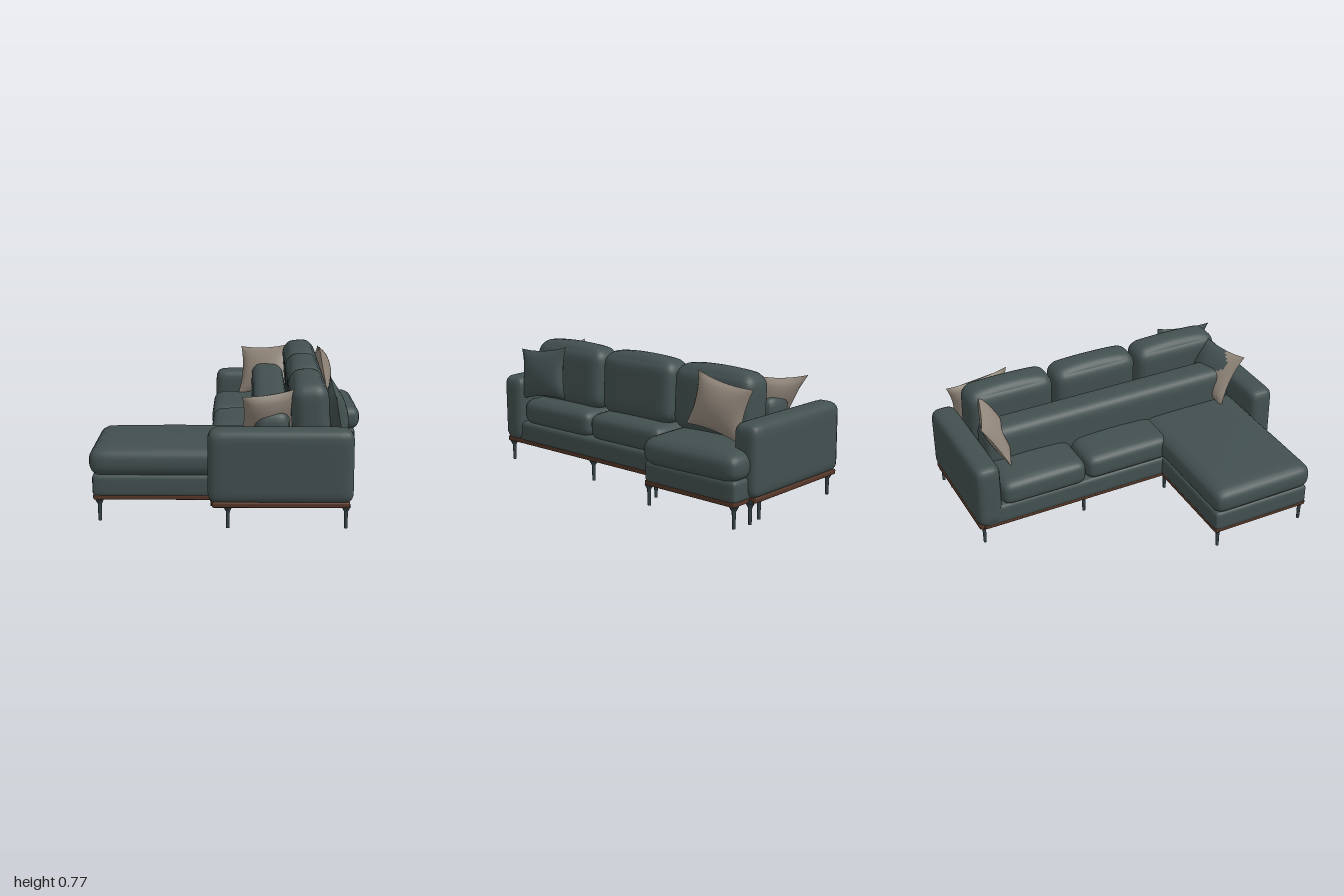
import * as THREE from 'three';
import { mergeVertices } from 'three/addons/utils/BufferGeometryUtils.js';

const mat = (name, color, side = THREE.FrontSide) => {
  const m = new THREE.MeshStandardMaterial({ color, side });
  m.name = name;
  return m;
};

// Upholstered block given by its extents: rounded edges and softly bulging faces
function softBox([x0, x1], [y0, y1], [z0, z1], radius, bulge = 0) {
  const half = [(x1 - x0) / 2, (y1 - y0) / 2, (z1 - z0) / 2];
  const geo = new THREE.BoxGeometry(2, 2, 2, 14, 14, 14);
  geo.deleteAttribute('normal');
  geo.deleteAttribute('uv');
  const pos = geo.attributes.position;
  const p = new THREE.Vector3(), core = new THREE.Vector3();
  const r = Math.min(radius, ...half.map((h) => h * 0.98));
  for (let i = 0; i < pos.count; i++) {
    p.fromBufferAttribute(pos, i);
    // crowd the grid lines towards the edges
    const t = p.toArray().map((v) => Math.sign(v) * (1 - Math.pow(1 - Math.min(1, Math.abs(v)), 1.8)));
    p.set(t[0] * half[0], t[1] * half[1], t[2] * half[2]);
    core.set(...p.toArray().map((v, k) => THREE.MathUtils.clamp(v, r - half[k], half[k] - r)));
    p.sub(core).setLength(r).add(core);
    // crown the top and bottom, full in the middle and low at the rim
    const crown = (1 - t[0] ** 2) * (1 - t[2] ** 2);
    p.y += bulge * t[1] * (crown - 0.4);
    pos.setXYZ(i, p.x + (x0 + x1) / 2, p.y + (y0 + y1) / 2, p.z + (z0 + z1) / 2);
  }
  const out = mergeVertices(geo, 1e-5);
  out.computeVertexNormals();
  return out;
}

// One face of a scatter cushion: pointed corners, pinched sides, puffed middle
function pillowShell(w, h, depth, dir, isSecond = () => false) {
  const n = 16, pts = [], groups = [[], []];
  for (let j = 0; j <= n; j++) {
    for (let i = 0; i <= n; i++) {
      const u = (2 * i) / n - 1, v = (2 * j) / n - 1;
      const puff = Math.pow((1 - u * u) * (1 - v * v), 0.6);
      pts.push(u * w / 2 * (1 - 0.12 * (1 - v * v)), v * h / 2 * (1 - 0.12 * (1 - u * u)), dir * depth * puff);
    }
  }
  for (let j = 0; j < n; j++) {
    for (let i = 0; i < n; i++) {
      const a = j * (n + 1) + i, b = a + 1, c = a + n + 1, d = c + 1;
      const list = groups[isSecond((2 * i) / n - 1, (2 * j) / n - 1) ? 1 : 0];
      list.push(...(dir > 0 ? [a, b, d, a, d, c] : [a, d, b, a, c, d]));
    }
  }
  const geo = new THREE.BufferGeometry();
  geo.setAttribute('position', new THREE.Float32BufferAttribute(pts, 3));
  geo.setIndex(groups.flat());
  geo.addGroup(0, groups[0].length, 0);
  geo.addGroup(groups[0].length, groups[1].length, 1);
  geo.computeVertexNormals();
  return geo;
}

export function createModel() {
  const model = new THREE.Group();
  model.name = 'sectionalSofa';
  const fabric = mat('slateFabric', 0x435050);
  const beige = mat('beigeFabric', 0x91867a);
  const wood = mat('brownWood', 0x553627);
  const metal = mat('darkMetal', 0x364346);

  const add = (name, geo, material, parent = model) => {
    const mesh = new THREE.Mesh(geo, material);
    mesh.name = name;
    parent.add(mesh);
    return mesh;
  };
  const soft = (name, x, y, z, r, bulge) => add(name, softBox(x, y, z, r, bulge), fabric);

  // Upholstered bases, each on a thin wooden plinth
  const bases = [
    ['main', [-0.13, 0.62], [-0.96, 0.96]],
    ['chaise', [-0.77, 0.1], [0.21, 0.84]],
    ['extension', [0.3, 0.755], [-0.95, -0.31]],
  ];
  for (const [name, x, z] of bases) {
    soft(name + 'Base', x, [0.13, 0.262], z, 0.03);
    add(name + 'Plinth', softBox([x[0] + 0.006, x[1] - 0.003], [0.118, 0.148], [z[0] + 0.004, z[1] - 0.004], 0.008), wood);
  }

  // Arms at both ends
  for (const s of [-1, 1]) {
    const z = [0.835 * s, 0.995 * s].sort((a, b) => a - b);
    soft('arm', [-0.138, 0.64], [0.135, 0.54], z, 0.055);
    const zp = [0.85 * s, 0.985 * s].sort((a, b) => a - b);
    add('armPlinth', softBox([-0.115, 0.62], [0.118, 0.15], zp, 0.01), wood);
  }

  // Seat cushions
  const seatY = [0.24, 0.412];
  soft('seatCushion', [-0.15, 0.4], seatY, [-0.84, -0.3], 0.06, 0.015);
  soft('seatCushion', [-0.14, 0.62], seatY, [-0.295, 0.265], 0.06, 0.015);
  soft('seatCushion', [0.05, 0.62], seatY, [0.27, 0.84], 0.06, 0.015);
  soft('chaiseCushion', [-0.787, 0.2], seatY, [0.2, 0.855], 0.07, 0.015);
  const ext = soft('extensionCushion', [0.2, 0.78], [0.235, 0.405], [-0.955, -0.305], 0.07, 0.015);
  ext.geometry.translate(-0.5, 0, 0.63);
  ext.position.set(0.5, 0, -0.63);
  ext.rotation.y = 0.02;

  // Long low backrest and the back cushions leaning on it
  soft('backrest', [0.1, 0.305], [0.25, 0.61], [-0.83, 0.83], 0.07);
  for (const z of [[-0.845, -0.295], [-0.285, 0.265], [0.275, 0.835]]) {
    const cushion = soft('backCushion', [-0.105, 0.105], [-0.19, 0.185], z, 0.075, 0.02);
    cushion.position.set(0.415, 0.575, 0);
    cushion.rotation.z = 0.06;
  }

  // Scatter cushions: position, turn, lean, roll, face and back materials
  const pillow = (name, pos, turn, lean, roll, w, h, face, back, accent, isAccent) => {
    const g = new THREE.Group();
    g.name = name;
    g.position.set(...pos);
    g.rotation.set(lean, turn, roll, 'YXZ');
    add('pillowFace', pillowShell(w, h, 0.055, 1, isAccent), [face, accent], g);
    add('pillowBack', pillowShell(w, h, 0.055, -1), [back, back], g);
    model.add(g);
  };
  const q = Math.PI / 2;
  pillow('darkPillow', [0.565, 0.575, 0.7], q, -0.18, 0.14, 0.39, 0.31, fabric, fabric, fabric);
  pillow('beigePillow', [0.565, 0.583, -0.69], q, -0.18, -0.14, 0.39, 0.3, beige, beige, beige);
  pillow('cornerPillow', [0.19, 0.57, -0.745], -0.37, -0.5, 0.12, 0.36, 0.34, beige, beige, beige);
  pillow('twoTonePillow', [0.2, 0.57, 0.745], Math.PI + 0.37, -0.5, -0.12, 0.35, 0.34, fabric, beige, beige,
    (u, v) => u > 0.3 + 0.25 * Math.sin(v * 4));

  // Slim legs with small mounting blocks
  const legs = [
    [-0.73, 0.25], [-0.73, 0.82], [-0.09, 0.25], [-0.03, 0.95], [0.6, 0.95],
    [0.6, 0.24], [0.6, -0.26], [0.73, -0.33], [0.73, -0.93], [0.52, -0.93],
    [-0.07, -0.3], [-0.08, -0.95], [0.62, -0.95],
  ];
  for (const [x, z] of legs) {
    add('leg', new THREE.CylinderGeometry(0.012, 0.009, 0.13, 10), metal).position.set(x, 0.065, z);
    add('legMount', new THREE.CylinderGeometry(0.026, 0.013, 0.025, 10), metal).position.set(x, 0.108, z);
  }
  return model;
}
